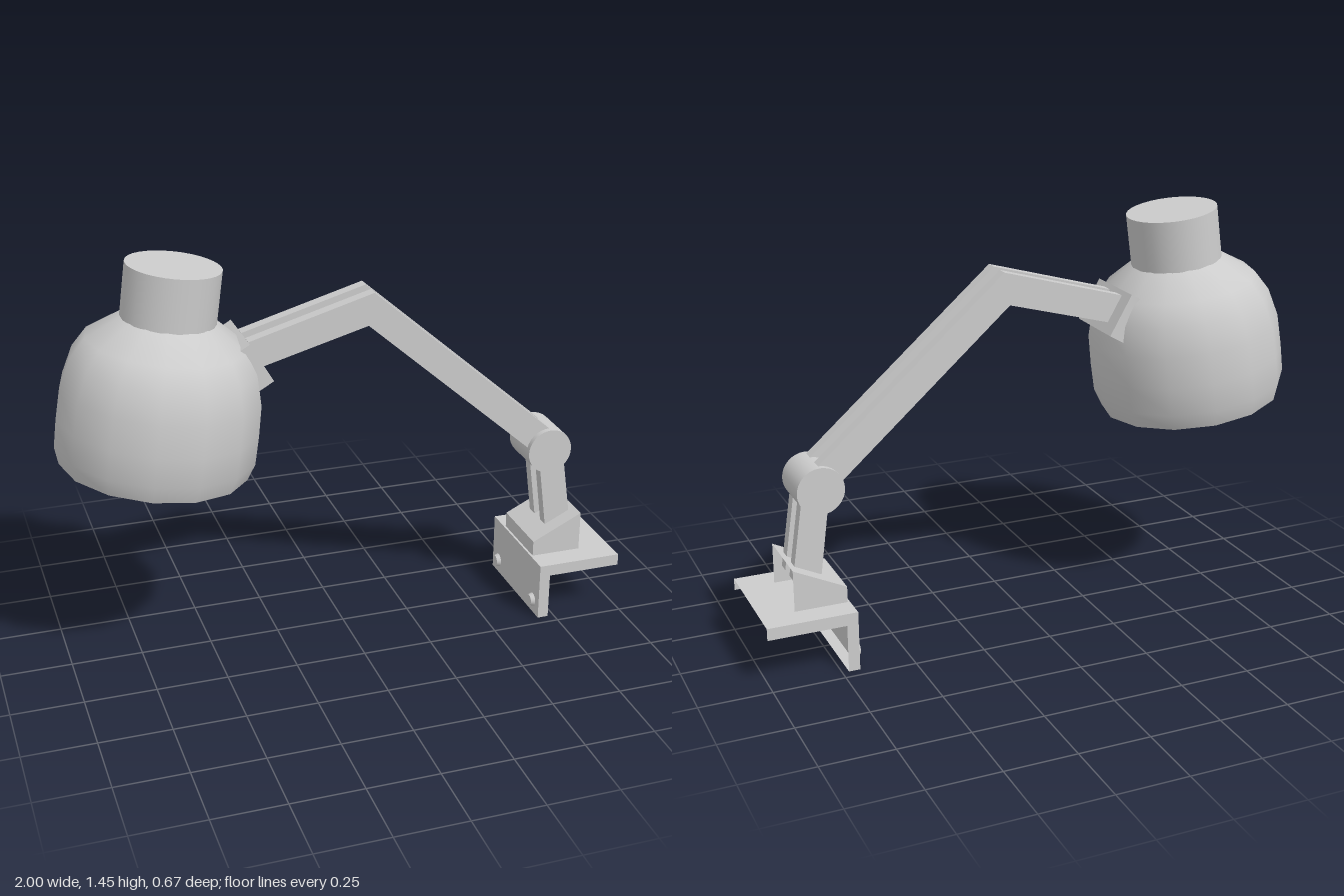
import * as THREE from 'three';
import { toCreasedNormals, mergeGeometries } from 'three/addons/utils/BufferGeometryUtils.js';

const material = new THREE.MeshStandardMaterial({ color: 0xcccccc });
const sheetMaterial = new THREE.MeshStandardMaterial({ color: 0xcccccc, side: THREE.DoubleSide });

const toVectors = (points) => points.map(([x, y]) => new THREE.Vector2(x, y));

function add(parent, name, geometry, mat = material) {
  const mesh = new THREE.Mesh(geometry, mat);
  mesh.name = name;
  parent.add(mesh);
  return mesh;
}

// Flat bar cut from a side outline, centred on z
function bar(outline, width) {
  const shape = new THREE.Shape(toVectors(outline));
  const geometry = new THREE.ExtrudeGeometry(shape, { depth: width, bevelEnabled: false });
  return geometry.translate(0, 0, -width / 2);
}

// Folded sheet: a strip along the path plus two side walls closing the outline
function foldedSheet(path, outline, halfWidth) {
  const parts = [];
  for (let i = 0; i < path.length - 1; i++) {
    const [x0, y0] = path[i];
    const [x1, y1] = path[i + 1];
    const strip = new THREE.PlaneGeometry(Math.hypot(x1 - x0, y1 - y0), halfWidth * 2);
    strip.rotateX(Math.PI / 2).rotateZ(Math.atan2(y1 - y0, x1 - x0));
    parts.push(strip.translate((x0 + x1) / 2, (y0 + y1) / 2, 0));
  }
  for (const side of [1, -1]) {
    const wall = new THREE.ShapeGeometry(new THREE.Shape(toVectors(outline)));
    if (side < 0) {
      // Reverse the far wall so it faces outward
      const index = Array.from(wall.index.array).reverse();
      wall.setIndex(index);
      wall.computeVertexNormals();
    }
    parts.push(wall.translate(0, 0, side * halfWidth));
  }
  return mergeGeometries(parts.map((part) => part.toNonIndexed()));
}

export function createModel() {
  const model = new THREE.Group();
  model.name = 'deskLamp';

  // Lamp head, tilted about its open rim
  const head = new THREE.Group();
  head.name = 'lampHead';
  head.position.set(-0.672, 0.731, 0);
  head.rotation.z = THREE.MathUtils.degToRad(-8);
  model.add(head);

  // Shade: recessed diffuser, rim, wall and shoulder
  const sides = 14;
  const shadeProfile = toVectors([
    [0, 0.1], [0.285, 0.1], [0.29, 0], [0.323, 0], [0.343, 0.06], [0.344, 0.16],
    [0.34, 0.27], [0.315, 0.37], [0.271, 0.443], [0.16, 0.52],
  ]);
  const shade = new THREE.LatheGeometry(shadeProfile, sides, Math.PI / sides);
  add(head, 'shade', toCreasedNormals(shade, 0.7));

  const neck = new THREE.CylinderGeometry(0.16, 0.16, 0.2, 32);
  add(head, 'neck', neck).position.y = 0.6;

  // Plate joining the shade to the arm
  const bracket = add(model, 'shadeBracket', new THREE.BoxGeometry(0.06, 0.16, 0.25));
  bracket.position.set(-0.346, 1.085, 0);
  bracket.rotation.z = Math.PI / 6;

  // Twin arm bars and twin post bars
  const armOutline = [
    [-0.35, 1.05], [0.07, 1.165], [0.7, 0.61], [0.77, 0.685], [0.09, 1.28], [-0.35, 1.155],
  ];
  const postOutline = [[0.768, 0.28], [0.85, 0.275], [0.865, 0.3], [0.82, 0.6], [0.725, 0.6]];
  for (const side of [1, -1]) {
    const label = side > 0 ? 'Front' : 'Back';
    add(model, `arm${label}`, bar(armOutline, 0.042)).position.z = side * 0.046;
    add(model, `post${label}`, bar(postOutline, 0.042)).position.z = side * 0.046;
  }

  // Elbow joint
  const joint = add(model, 'elbowJoint', new THREE.CylinderGeometry(0.083, 0.083, 0.174, 32));
  joint.rotation.x = Math.PI / 2;
  joint.position.set(0.76, 0.61, 0);

  // Wedge foot, open towards +x
  const wedgePath = [[0.88, 0.36], [0.695, 0.27], [0.695, 0.21]];
  const wedge = foldedSheet(wedgePath, [...wedgePath, [0.88, 0.21]], 0.125);
  add(model, 'wedgeFoot', wedge, sheetMaterial);

  // Angled mounting plate, open on its inner side
  const mountPath = [[1, 0.213], [0.687, 0.213], [0.687, 0], [0.727, 0]];
  const mountOutline = [...mountPath, [0.727, 0.17], [1, 0.17]];
  add(model, 'mountingPlate', foldedSheet(mountPath, mountOutline, 0.213), sheetMaterial);

  // Screws on the outer face
  for (const side of [1, -1]) {
    const screw = add(model, 'screw', new THREE.CylinderGeometry(0.02, 0.027, 0.02, 16));
    screw.rotation.z = Math.PI / 2;
    screw.position.set(0.682, 0.05, side * 0.16);
  }

  return model;
}
